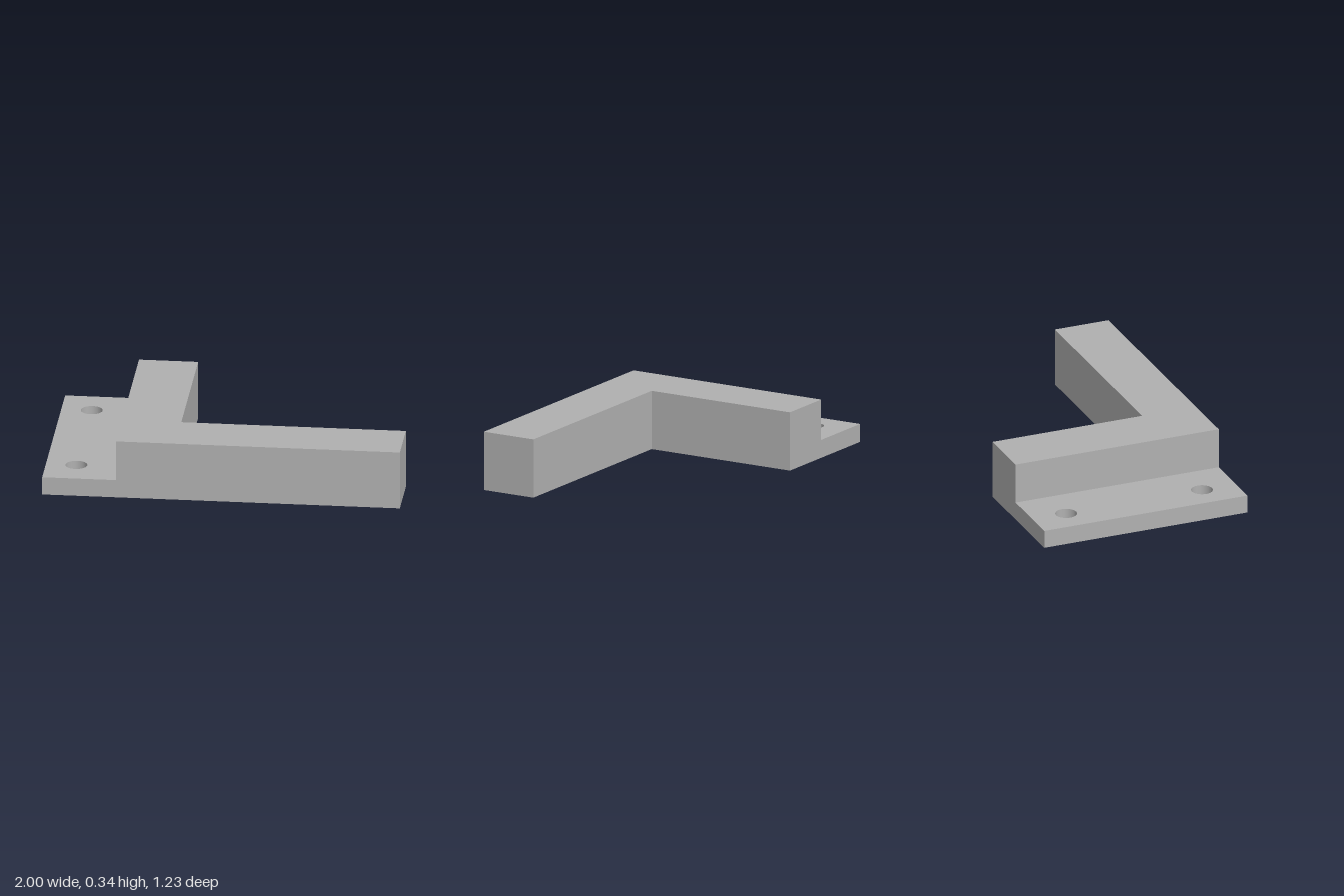
import * as THREE from 'three';

const HEIGHT = 0.335, FLANGE_HEIGHT = 0.103;
const BACK = -0.613, FRONT = 0.613, STEP_X = -0.587;

// Extrude a floor plan, given as [x, z] corners, upwards from y = 0
function extrudePlan(corners, height, holes = []) {
  const shape = new THREE.Shape(corners.map(([x, z]) => new THREE.Vector2(x, -z)));
  for (const [x, z, r] of holes) {
    shape.holes.push(new THREE.Path().absarc(x, -z, r, 0, Math.PI * 2, true));
  }
  const geometry = new THREE.ExtrudeGeometry(shape, { depth: height, bevelEnabled: false, curveSegments: 32 });
  return geometry.rotateX(-Math.PI / 2);
}

export function createModel() {
  const model = new THREE.Group();
  model.name = 'angleBracket';
  const grey = new THREE.MeshStandardMaterial({ color: 0xb0b0b0 });
  grey.name = 'grey';

  const add = (name, geometry) => {
    const mesh = new THREE.Mesh(geometry, grey);
    mesh.name = name;
    model.add(mesh);
  };

  // Tall L-shaped body: a short arm to the back and a long arm along the front
  add('angleBody', extrudePlan([
    [STEP_X, FRONT], [1, FRONT], [1, 0.29], [-0.256, 0.29], [-0.256, BACK], [STEP_X, BACK],
  ], HEIGHT));

  // Low mounting flange with two screw holes
  add('mountingFlange', extrudePlan([
    [-1, FRONT], [STEP_X, FRONT], [STEP_X, BACK], [-1, BACK],
  ], FLANGE_HEIGHT, [-0.41, 0.41].map((z) => [-0.83, z, 0.061])));

  return model;
}
